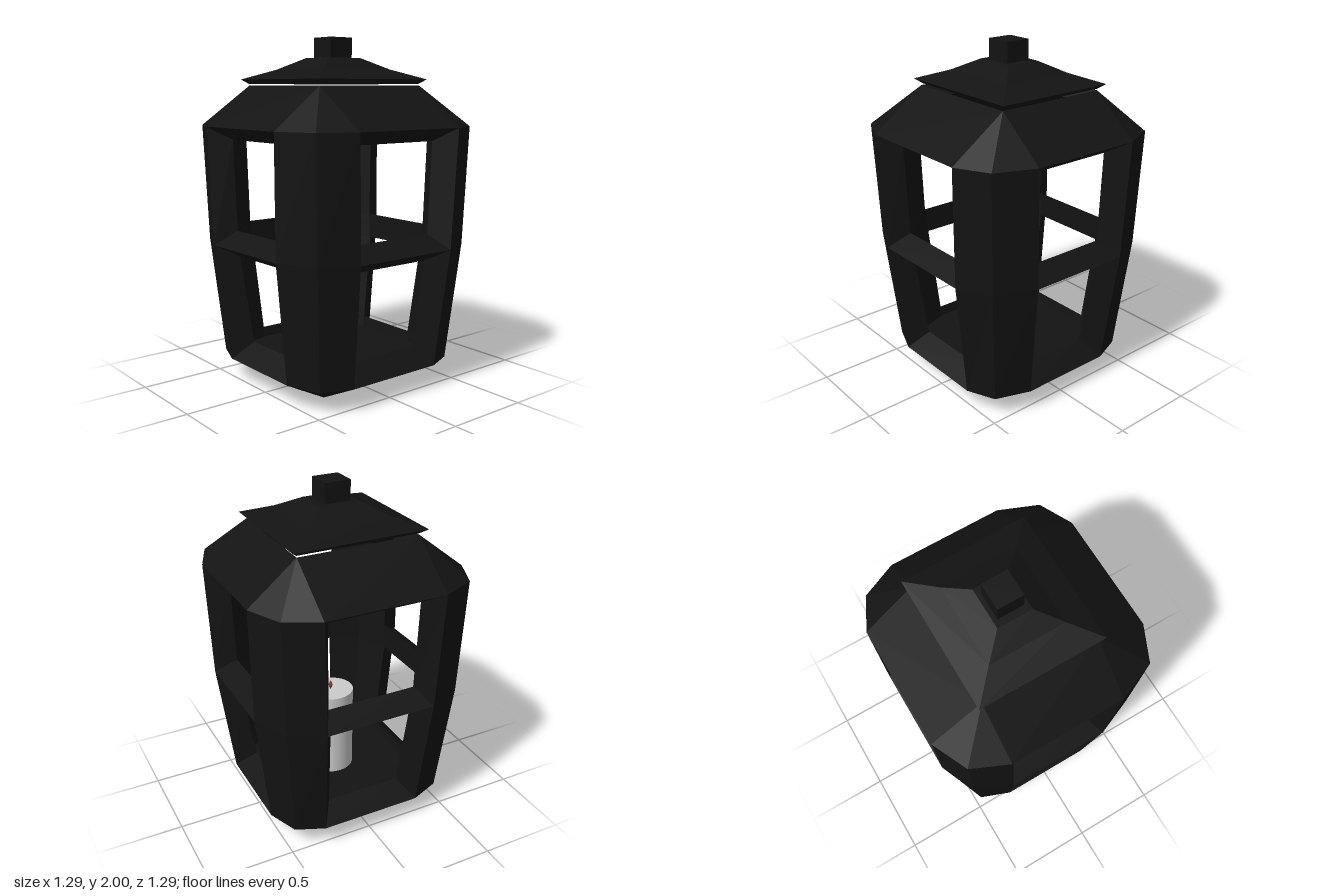
import * as THREE from 'three';

const iron = new THREE.MeshStandardMaterial({ color: 0x131313, flatShading: true });
const wax = new THREE.MeshStandardMaterial({ color: 0xcccccc });
const flameMat = new THREE.MeshStandardMaterial({ color: 0x8a3c20 });
const wickMat = new THREE.MeshStandardMaterial({ color: 0x2a1a14 });

// Twelve-point ring: one corner of three points [x, z], mirrored to all four corners.
// Windows, cap and foot sit slightly off centre, the outermost outline does not.
function ring(y, front, corner, side) {
  const c = [front, corner, side];
  const r = [...c].reverse();
  const put = (list, sx, sz) => list.map(([x, z]) => new THREE.Vector3(
    x * sx + (x < 0.4 ? 0.007 : 0), y, z * sz - (z < 0.4 ? 0.01 : 0)));
  return [...put(c, 1, 1), ...put(r, 1, -1), ...put(c, -1, -1), ...put(r, -1, 1)];
}
const square = (y, x, z) => ring(y, [x, z], [x, z], [x, z]);

// Collects flat triangles, leaving out collapsed ones
class Skin {
  constructor() { this.pos = []; }
  tri(a, b, c) {
    const n = b.clone().sub(a).cross(c.clone().sub(a));
    if (n.length() > 1e-7) for (const p of [a, b, c]) this.pos.push(p.x, p.y, p.z);
  }
  quad(a, b, c, d) { this.tri(a, b, c); this.tri(a, c, d); }
  // Band between two rings, facing outward when hi lies above lo
  band(lo, hi, use = () => true) {
    for (let j = 0; j < 12; j++) {
      const k = (j + 1) % 12;
      if (use(j)) this.quad(lo[j], lo[k], hi[k], hi[j]);
    }
  }
  // Closes a ring with a fan around its middle
  lid(r, up) {
    const mid = new THREE.Vector3(0, r[0].y, 0);
    for (let j = 0; j < 12; j++) {
      const k = (j + 1) % 12;
      if (up) this.tri(mid, r[j], r[k]);
      else this.tri(mid, r[k], r[j]);
    }
  }
  mesh(name) {
    const g = new THREE.BufferGeometry();
    g.setAttribute('position', new THREE.Float32BufferAttribute(this.pos, 3));
    g.computeVertexNormals();
    const m = new THREE.Mesh(g, iron);
    m.name = name;
    return m;
  }
}

export function createModel() {
  const lantern = new THREE.Group();
  lantern.name = 'lantern';
  const isFlat = j => j % 3 === 2;
  const isCorner = j => !isFlat(j);

  // Outer rings, from foot to roof opening
  const foot = square(0, 0.295, 0.28);
  const sill = ring(0.13, [0.30, 0.54], [0.47, 0.47], [0.54, 0.28]);
  const waist = ring(0.82, [0.33, 0.625], [0.53, 0.53], [0.625, 0.31]);
  const eave = ring(1.5, [0.355, 0.645], [0.553, 0.55], [0.645, 0.335]);
  const crown = square(1.728, 0.36, 0.335);

  // Inner rings
  const floor = ring(0.17, [0.225, 0.42], [0.37, 0.37], [0.42, 0.205]);
  const inSill = ring(0.23, [0.225, 0.43], [0.375, 0.375], [0.43, 0.205]);
  const barLow = ring(0.75, [0.25, 0.5], [0.425, 0.425], [0.5, 0.23]);
  const barHigh = ring(0.9, [0.265, 0.505], [0.435, 0.435], [0.505, 0.245]);
  const inEave = ring(1.425, [0.275, 0.52], [0.445, 0.445], [0.52, 0.255]);
  const inCrown = square(1.66, 0.30, 0.28);

  // Base: tapered tray with bevelled window sills
  const base = new Skin();
  base.lid(foot, false);
  base.band(foot, sill);
  base.band(sill, inSill, isFlat);
  base.band(inSill, floor);
  base.lid(floor, true);
  lantern.add(base.mesh('base'));

  // Corner posts with bevelled window jambs
  const posts = new Skin();
  posts.band(sill, waist, isCorner);
  posts.band(waist, eave, isCorner);
  const inner = [inSill, barLow, barHigh, inEave];
  for (let i = 0; i < 3; i++) posts.band(inner[i + 1], inner[i], isCorner);
  const panes = [[sill, waist, inSill, barLow], [waist, eave, barHigh, inEave]];
  for (const [oLo, oHi, iLo, iHi] of panes) {
    for (let j = 2; j < 12; j += 3) {
      const k = (j + 1) % 12;
      posts.quad(oLo[j], iLo[j], iHi[j], oHi[j]);
      posts.quad(iLo[k], oLo[k], oHi[k], iHi[k]);
    }
  }
  lantern.add(posts.mesh('cornerPosts'));

  // Wedge-shaped crossbars at mid height
  const bars = new Skin();
  bars.band(waist, barHigh, isFlat);
  bars.band(barLow, waist, isFlat);
  bars.band(barHigh, barLow, isFlat);
  lantern.add(bars.mesh('crossbars'));

  // Sloped roof, open at the top
  const roof = new Skin();
  roof.band(eave, crown);
  roof.band(crown, inCrown);
  roof.band(inCrown, inEave);
  roof.band(inEave, eave, isFlat);
  lantern.add(roof.mesh('roof'));

  // Flared cap floating just above the roof
  const capRings = [
    square(1.737, 0.36, 0.33), square(1.764, 0.395, 0.365),
    square(1.82, 0.24, 0.22), square(1.885, 0.12, 0.10),
  ];
  const cap = new Skin();
  cap.lid(capRings[0], false);
  for (let i = 0; i < 3; i++) cap.band(capRings[i], capRings[i + 1]);
  cap.lid(capRings[3], true);
  const capMesh = cap.mesh('cap');
  capMesh.position.z = -0.004;
  lantern.add(capMesh);

  const add = (name, geometry, material, x, y, z) => {
    const m = new THREE.Mesh(geometry, material);
    m.name = name;
    m.position.set(x, y, z);
    lantern.add(m);
    return m;
  };
  add('finial', new THREE.BoxGeometry(0.156, 0.12, 0.15), iron, 0.006, 1.94, -0.014);

  // Candle, very slightly oval
  const candle = new THREE.CylinderGeometry(0.137, 0.137, 0.525, 32).scale(1, 1, 0.94);
  add('candle', candle, wax, 0.005, 0.4325, -0.006);
  add('wick', new THREE.CylinderGeometry(0.004, 0.004, 0.03, 8), wickMat, 0.006, 0.705, -0.006);
  const drop = [[0, 0], [0.007, 0.006], [0.011, 0.02], [0.011, 0.03], [0.007, 0.042], [0, 0.054]];
  add('flame', new THREE.LatheGeometry(drop.map(p => new THREE.Vector2(...p)), 12), flameMat, 0.006, 0.698, -0.006);

  return lantern;
}
